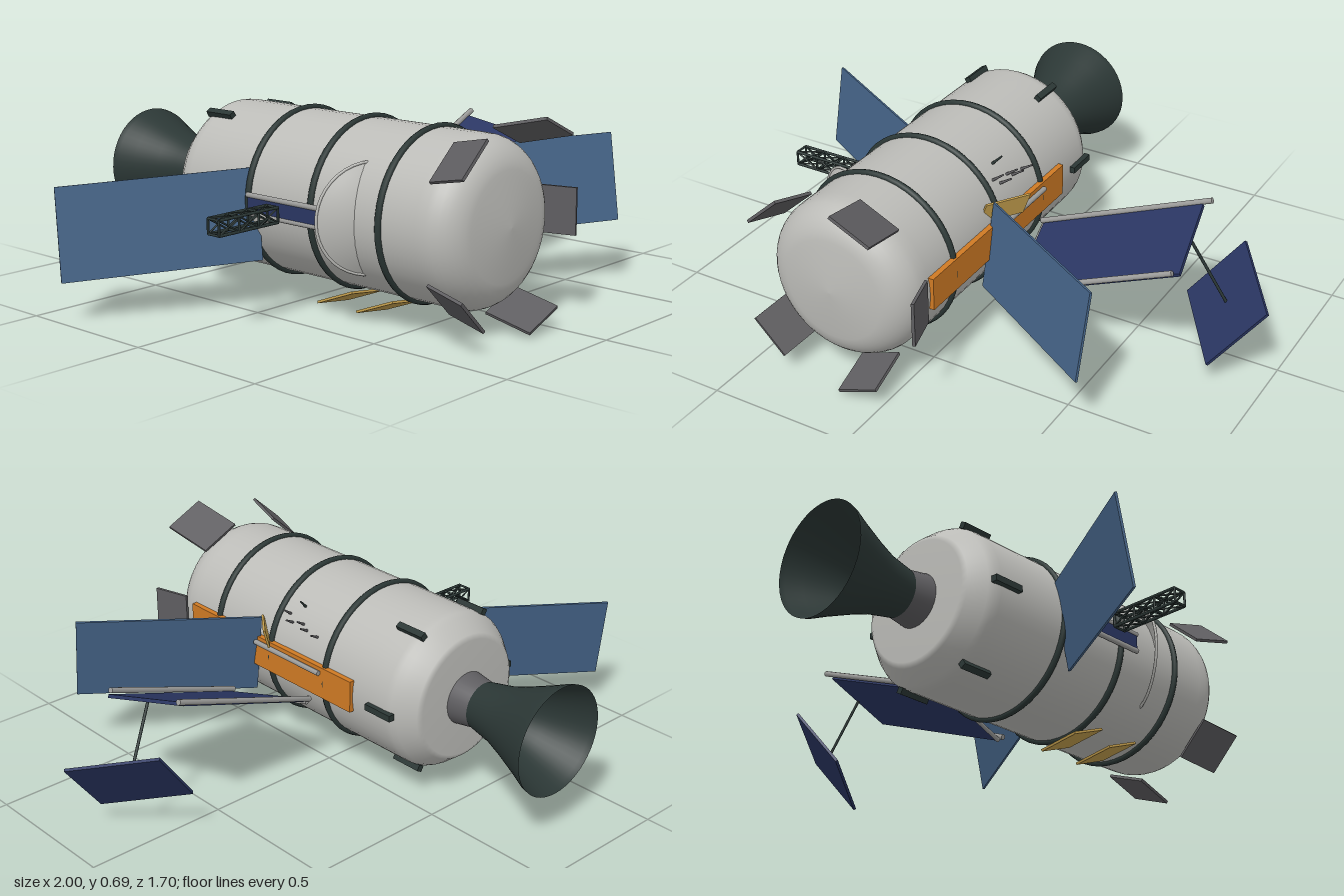
import * as THREE from 'three';

const mat = (name, color, side = THREE.FrontSide) => {
  const m = new THREE.MeshStandardMaterial({ color, side });
  m.name = name;
  return m;
};
const V = (a) => new THREE.Vector3(...a);

export function createModel() {
  const hull = mat('hull grey', 0xbcbcb8, THREE.DoubleSide);
  const grey = mat('fin grey', 0x5e5d60);
  const dark = mat('dark green', 0x2b3735, THREE.DoubleSide);
  const wingBlue = mat('wing blue', 0x456488);
  const navy = mat('navy', 0x2a3663);
  const orange = mat('orange', 0xcf7a24);
  const gold = mat('gold', 0xc29d4c);
  const rail = mat('rail grey', 0x9c9c9a);

  const model = new THREE.Group();
  model.name = 'spacecraft';
  const CX = -0.195, CY = 0.36, R = 0.275;

  const add = (name, geo, material, parent = model) => {
    const mesh = new THREE.Mesh(geo, material);
    mesh.name = name;
    parent.add(mesh);
    return mesh;
  };
  // everything round about the hull axis lives in this group
  const core = new THREE.Group();
  core.name = 'core';
  core.position.set(CX, CY, 0);
  model.add(core);

  // lathe along z, profile given as [radius, z] from back to front
  const lathe = (name, pts, material, seg = 48) =>
    add(name, new THREE.LatheGeometry(pts.map((p) => new THREE.Vector2(...p)), seg).rotateX(Math.PI / 2), material, core);
  // thin plate from corner a with neighbours b and d
  const plate = (name, a, b, d, material, t = 0.008) => {
    const A = V(a), u = V(b).sub(A), v = V(d).sub(A);
    const n = u.clone().cross(v).normalize().multiplyScalar(t);
    const c = A.clone().addScaledVector(u, 0.5).addScaledVector(v, 0.5);
    const m = new THREE.Matrix4().makeBasis(u, v, n).setPosition(c);
    return add(name, new THREE.BoxGeometry(1, 1, 1).applyMatrix4(m), material);
  };
  // straight round rod between two points
  const rod = (name, a, b, r, material, r2 = r, parent = model) => {
    const A = V(a), d = V(b).sub(A);
    const mesh = add(name, new THREE.CylinderGeometry(r2, r, d.length(), 8), material, parent);
    mesh.position.copy(A).addScaledVector(d, 0.5);
    mesh.quaternion.setFromUnitVectors(new THREE.Vector3(0, 1, 0), d.normalize());
    return mesh;
  };

  // hull with chamfered back and rounded front
  const profile = [[0, -0.455], [0.205, -0.455], [0.222, -0.445], [0.262, -0.395], [0.273, -0.375], [R, -0.35], [R, -0.27], [R, 0.2], [R, 0.63]];
  for (let i = 1; i <= 9; i++) {
    const a = (i / 9) * Math.PI / 2;
    profile.push([0.155 + 0.12 * Math.cos(a), 0.645 + 0.12 * Math.sin(a)]);
  }
  profile.push([0.08, 0.777], [0, 0.782]);
  lathe('hull', profile, hull);

  // ribs around the hull
  for (const z of [0.49, 0.21, -0.065])
    add('rib', new THREE.TorusGeometry(R + 0.002, 0.011, 8, 48), dark, core).position.z = z;

  // engine
  lathe('engineNeck', [[0.075, -0.54], [0.08, -0.53], [0.092, -0.455]], grey, 32);
  lathe('nozzle', [[0.19, -0.85], [0.185, -0.83], [0.16, -0.775], [0.125, -0.69], [0.1, -0.62], [0.082, -0.53]], dark);

  // rear clamps
  for (let i = 0; i < 6; i++) {
    const a = i * Math.PI / 3;
    const clamp = add('rearClamp', new THREE.BoxGeometry(0.022, 0.022, 0.115), dark, core);
    clamp.position.set(Math.cos(a) * 0.281, Math.sin(a) * 0.281, -0.332);
    clamp.rotation.z = a;
  }

  // flared fins around the nose: angle, length, flare
  for (const [deg, len, flare] of [[0, 0.13, 0.035], [65, 0.185, 0.047], [132, 0.145, 0.042], [225, 0.15, 0.035], [291, 0.158, 0.042]]) {
    const a = THREE.MathUtils.degToRad(deg);
    const p = (r, s, z) => [CX + Math.cos(a) * r - Math.sin(a) * s, CY + Math.sin(a) * r + Math.cos(a) * s, z];
    plate('noseFin', p(0.284, -0.077, 0.665), p(0.284, 0.077, 0.665), p(0.284 + flare, -0.077, 0.665 + len), grey, 0.01);
  }

  // equipment tray on the left side
  const tray = add('sideTray', new THREE.BoxGeometry(0.03, 0.113, 0.83), orange);
  tray.position.set(0.077, 0.363, 0.215);

  // pair of large wings
  plate('leftWing', [0.07, 0.2, 0.3], [0.6, 0.23, 0.642], [0.085, 0.497, 0.25], wingBlue);
  plate('rightWing', [-1, 0.143, -0.362], [-0.45, 0.172, -0.025], [-0.982, 0.442, -0.405], wingBlue);

  // raised panel with its rails
  plate('raisedPanel', [0.19, 0.22, 0.3], [0.74, 0.43, 0.24], [0.125, 0.29, -0.01], navy, 0.012);
  rod('frontRail', [0.17, 0.225, 0.31], [0.72, 0.438, 0.255], 0.01, rail);
  rod('backRail', [0.11, 0.295, -0.02], [0.7, 0.52, -0.08], 0.01, rail);
  rod('innerRail', [0.12, 0.285, -0.02], [0.185, 0.215, 0.3], 0.008, rail);
  rod('hingeRail', [0.1, 0.4, -0.055], [0.1, 0.4, 0.27], 0.009, rail);

  // tilted outer panel and its strut
  plate('outerPanel', [0.645, 0.165, -0.06], [0.83, 0.09, 0.19], [0.81, 0.38, -0.12], navy, 0.01);
  rod('outerStrut', [0.7, 0.46, 0.08], [0.82, 0.235, 0.035], 0.005, dark);

  // folded panel on the right side
  const folded = add('foldedPanel', new THREE.BoxGeometry(0.02, 0.055, 0.32), navy);
  folded.position.set(-0.481, 0.36, 0.11);
  for (const y of [0.33, 0.39]) rod('foldedRail', [-0.486, y, -0.055], [-0.486, y, 0.275], 0.009, rail);

  // lattice boom, three crossed bays
  const boom = new THREE.Group();
  boom.name = 'latticeBoom';
  model.add(boom);
  const corner = (k) => [0.3625 + ([1, 1, -1, -1][k % 4]) * 0.024, 0.117 + ([1, -1, -1, 1][k % 4]) * 0.024];
  const bay = 0.083, x0 = -0.793;
  for (let k = 0; k < 4; k++) {
    const p = corner(k), q = corner(k + 1);
    rod('boomChord', [x0, ...p], [x0 + 3 * bay, ...p], 0.005, dark, 0.005, boom);
    for (let i = 0; i <= 3; i++) {
      const x = x0 + i * bay;
      rod('boomBatten', [x, ...p], [x, ...q], 0.004, dark, 0.004, boom);
      if (i === 3) continue;
      rod('boomDiagonal', [x, ...p], [x + bay, ...q], 0.003, dark, 0.003, boom);
      rod('boomDiagonal', [x, ...q], [x + bay, ...p], 0.003, dark, 0.003, boom);
    }
  }

  // shallow dish, bulging forward
  const bowl = [];
  for (let i = 0; i <= 8; i++) bowl.push(new THREE.Vector2(0.178 * (1 - i / 8), 0.05 * (1 - (1 - i / 8) ** 2)));
  const dish = new THREE.Group();
  dish.name = 'dish';
  dish.position.set(-0.388, 0.363, 0.388);
  dish.quaternion.setFromUnitVectors(new THREE.Vector3(0, 1, 0), new THREE.Vector3(-0.47, 0, 0.88).normalize());
  model.add(dish);
  add('dishBowl', new THREE.LatheGeometry(bowl, 40), hull, dish);
  add('dishRim', new THREE.TorusGeometry(0.178, 0.005, 6, 40).rotateX(Math.PI / 2), hull, dish);

  // gold plates
  plate('leftGoldPlate', [0.04, 0.42, 0.275], [0.135, 0.43, 0.155], [0.065, 0.492, 0.27], gold);
  for (const z of [0.43, 0.26])
    plate('bellyGoldPlate', [-0.335, 0.092, z], [-0.187, 0.072, z], [-0.342, 0.035, z - 0.145], gold);

  // small aerials on the upper left flank
  [[36, 0.165], [45, 0.12], [31, 0.14], [33, 0.09], [30, 0.065], [29, 0.01]].forEach(([deg, z], i) => {
    const a = THREE.MathUtils.degToRad(deg), c = Math.cos(a), s = Math.sin(a);
    rod('aerial', [c * 0.27, s * 0.27, z], [c * 0.318, s * 0.318, z - 0.01], 0.005, i === 1 ? dark : grey, 0.003, core);
  });

  return model;
}
